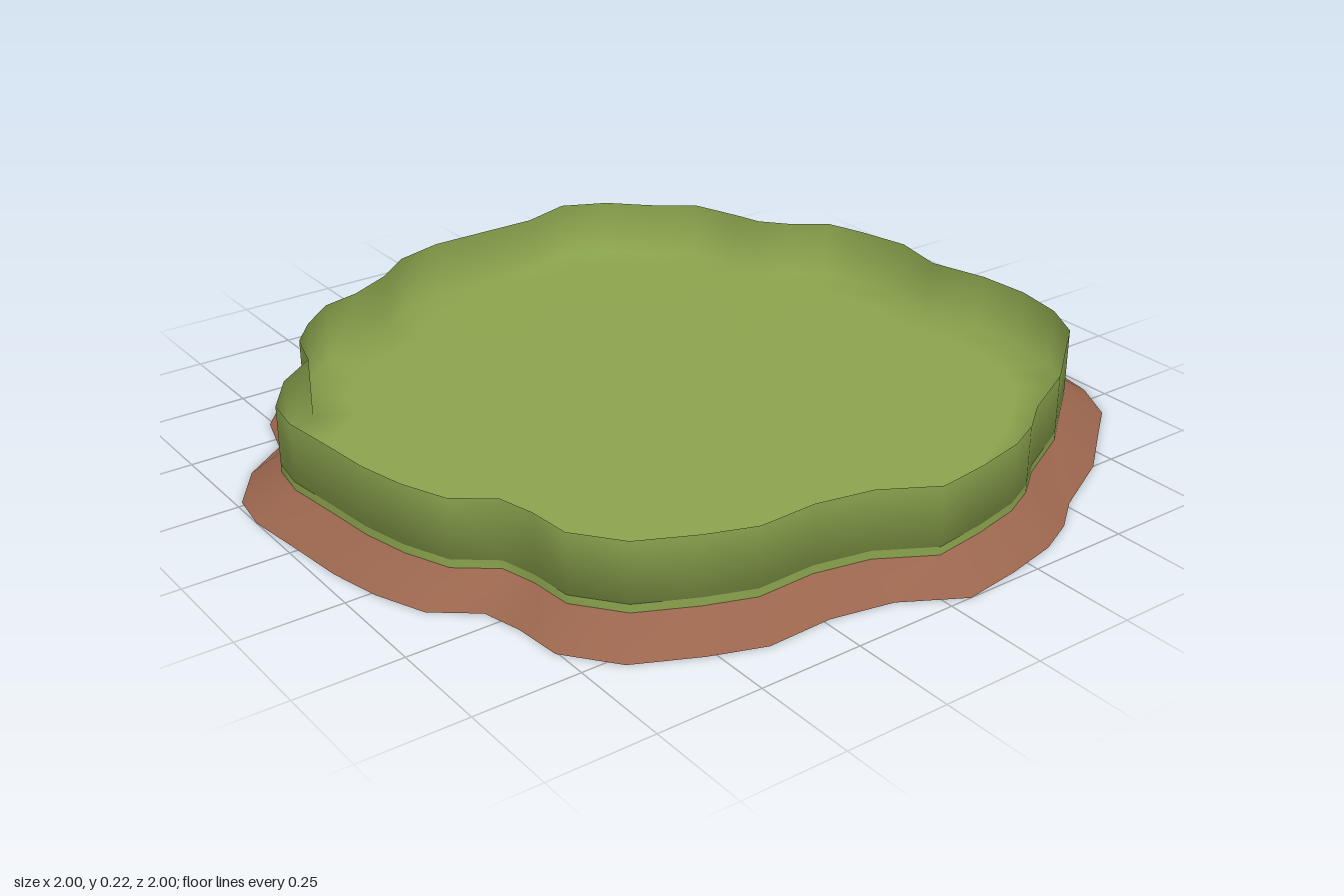
import * as THREE from 'three';

// Wavy outline of the base as x, z pairs
const OUTLINE = [
  0.345, -1.0, 0.47, -0.94, 0.565, -0.845, 0.68, -0.755, 0.725, -0.625, 0.75, -0.54,
  0.81, -0.47, 0.905, -0.4, 0.94, -0.295, 0.975, -0.145, 0.945, 0.01, 0.99, 0.17,
  1.0, 0.315, 0.975, 0.455, 0.915, 0.57, 0.795, 0.665, 0.69, 0.75, 0.515, 0.84,
  0.43, 0.905, 0.335, 0.95, 0.2, 0.98, 0.055, 1.0, -0.085, 0.92, -0.235, 0.89,
  -0.395, 0.895, -0.52, 0.85, -0.665, 0.78, -0.755, 0.665, -0.765, 0.55, -0.79, 0.455,
  -0.885, 0.38, -0.935, 0.26, -0.965, 0.135, -0.98, 0, -1.0, -0.16, -0.985, -0.265,
  -0.905, -0.38, -0.795, -0.46, -0.76, -0.58, -0.69, -0.665, -0.595, -0.745, -0.49, -0.77,
  -0.37, -0.83, -0.265, -0.915, -0.125, -0.955, 0.2, -0.955,
];
const N = OUTLINE.length / 2;

// Smooth surface through scaled copies of the outline; rings are [scale, y]
function loft(rings) {
  const positions = [], index = [];
  for (const [s, y] of rings) {
    for (let i = 0; i < N; i++) positions.push(OUTLINE[2 * i] * s, y, OUTLINE[2 * i + 1] * s);
  }
  for (let r = 0; r + 1 < rings.length; r++) {
    for (let i = 0; i < N; i++) {
      const j = (i + 1) % N, a = r * N, b = a + N;
      index.push(a + i, b + i, a + j);
      if (rings[r + 1][0] > 0) index.push(a + j, b + i, b + j);
    }
  }
  const geometry = new THREE.BufferGeometry();
  geometry.setAttribute('position', new THREE.Float32BufferAttribute(positions, 3));
  geometry.setIndex(index);
  geometry.computeVertexNormals();
  return geometry;
}

export function createModel() {
  const grass = new THREE.MeshStandardMaterial({ color: 0x8aa34d, side: THREE.DoubleSide });
  grass.name = 'grassGreen';
  const earth = new THREE.MeshStandardMaterial({ color: 0x9a654d, side: THREE.DoubleSide });
  earth.name = 'earthBrown';

  const group = new THREE.Group();
  group.name = 'wavyBasin';
  const add = (name, material, rings) => {
    const mesh = new THREE.Mesh(loft(rings), material);
    mesh.name = name;
    group.add(mesh);
  };

  const WALL = 0.907, FOOT = 0.06, FLOOR = 0.08, TOP = 0.225;
  // Sloping earth skirt
  add('earthSkirt', earth, [[1, 0], [WALL, FOOT]]);
  // Thin upright wall running smoothly into the floor
  add('wallAndFloor', grass, [[WALL, TOP], [WALL, FLOOR], [0.8, FLOOR - 0.005], [0, FLOOR - 0.005]]);
  // Bottom strip of the wall, below the floor
  add('wallFoot', grass, [[WALL, FLOOR], [WALL, FOOT]]);
  return group;
}
